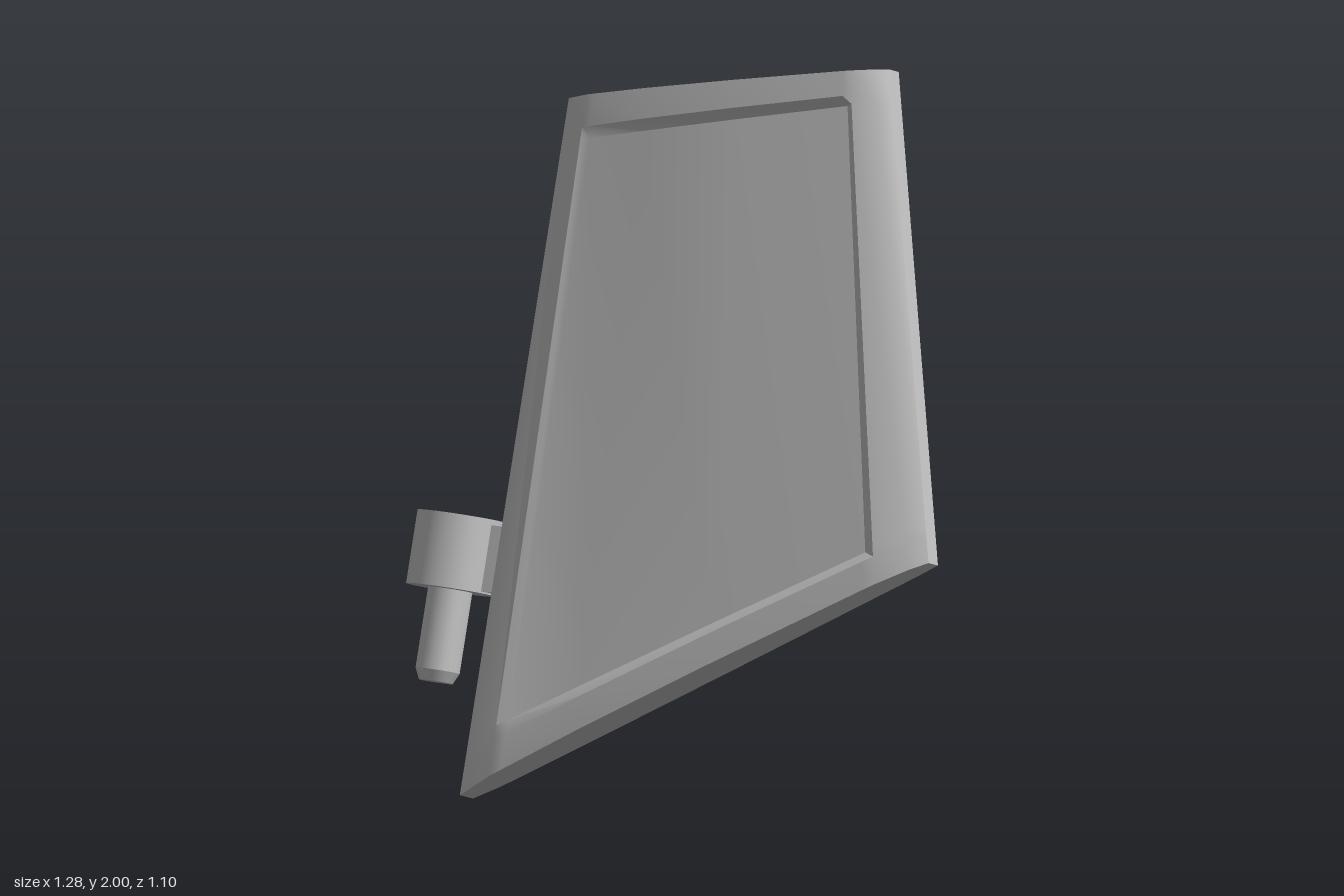
import * as THREE from 'three';
import { toCreasedNormals } from 'three/addons/utils/BufferGeometryUtils.js';

const V = (x, y, z) => new THREE.Vector3(x, y, z);

// Corners of the blade's middle plane (trailing and leading edge, top and bottom)
const topTrail = V(-0.1375, 1.83, -0.52), topLead = V(0.617, 1.993, 0.033);
const lowTrail = V(-0.525, 0.02, -0.115), lowLead = V(0.617, 0.743, 0.528);
const back = V(0.594, -0.299, -0.747).normalize();

// Cambered section: [position along the chord, offset from the middle plane, recess depth]
const frontSide = [
  [0, 0.042, 0], [0.075, 0.08, 0], [0.1, 0.083, 0.008], [0.26, 0.1, 0.025], [0.55, 0.102, 0.032],
  [0.875, 0.081, 0.03], [0.9, 0.078, 0], [0.965, 0.056, 0], [1, 0.03, 0],
];
const backSide = [
  [0, 0.042, 0], [0.055, 0.058, 0], [0.1, 0.06, 0.006], [0.26, 0.059, 0.01], [0.55, 0.052, 0.014],
  [0.875, 0.04, 0.02], [0.91, 0.039, 0], [0.96, 0.036, 0], [1, 0.03, 0],
];
const rows = [0, 0.048, 0.065, 0.925, 0.946, 1];

// Blade lofted from top to bottom, with a sunken panel on both faces
function bladeGeometry() {
  const loop = [
    ...frontSide.map(([u, h, d]) => [u, -h, d]),
    ...backSide.slice().reverse().map(([u, h, d]) => [u, h, -d]),
  ];
  const n = loop.length, pos = [], index = [];
  rows.forEach((v, j) => {
    const sunk = j === 2 || j === 3;
    const trail = topTrail.clone().lerp(lowTrail, v);
    const lead = topLead.clone().lerp(lowLead, v);
    for (const [u, h, d] of loop) {
      const p = trail.clone().lerp(lead, u).addScaledVector(back, h + (sunk ? d : 0));
      pos.push(p.x, p.y, p.z);
    }
  });
  for (let j = 0; j < rows.length - 1; j++) {
    for (let i = 0; i < n; i++) {
      const a = j * n + i, d = j * n + (i + 1) % n;
      index.push(a, a + n, d + n, a, d + n, d);
    }
  }
  // End caps as fans
  const topCentre = pos.length / 3, last = (rows.length - 1) * n;
  for (const c of [topTrail.clone().lerp(topLead, 0.5), lowTrail.clone().lerp(lowLead, 0.5)]) {
    pos.push(c.x, c.y, c.z);
  }
  for (let i = 0; i < n; i++) {
    const k = (i + 1) % n;
    index.push(topCentre, i, k, topCentre + 1, last + k, last + i);
  }
  const g = new THREE.BufferGeometry();
  g.setAttribute('position', new THREE.Float32BufferAttribute(pos, 3));
  g.setIndex(index);
  return toCreasedNormals(g, Math.PI / 6);
}

export function createModel() {
  const grey = new THREE.MeshStandardMaterial({ color: 0xc0c0c0 });
  grey.name = 'plain grey';
  const model = new THREE.Group();
  model.name = 'rudder';
  const add = (parent, name, geometry) => {
    const mesh = new THREE.Mesh(geometry, grey);
    mesh.name = name;
    parent.add(mesh);
    return mesh;
  };

  add(model, 'blade', bladeGeometry());

  // Hinge: local y runs up the trailing edge, local x points into the blade
  const hinge = new THREE.Group();
  hinge.name = 'hinge';
  const up = topTrail.clone().sub(lowTrail).normalize();
  const side = back.clone().addScaledVector(up, -back.dot(up)).normalize();
  const inward = up.clone().cross(side);
  if (inward.x < 0) { inward.negate(); side.negate(); }
  hinge.quaternion.setFromRotationMatrix(new THREE.Matrix4().makeBasis(inward, up, side));
  hinge.position.set(-0.483, 0.735, -0.367);
  model.add(hinge);

  add(hinge, 'hingeHead', new THREE.CylinderGeometry(0.12, 0.12, 0.2, 40)).position.y = -0.1;
  add(hinge, 'hingePin', new THREE.CylinderGeometry(0.06, 0.06, 0.23, 32)).position.y = -0.305;
  add(hinge, 'pinTip', new THREE.CylinderGeometry(0.06, 0.046, 0.03, 32)).position.y = -0.435;
  add(hinge, 'hingeArm', new THREE.BoxGeometry(0.16, 0.18, 0.085)).position.set(0.09, -0.105, 0);

  return model;
}
